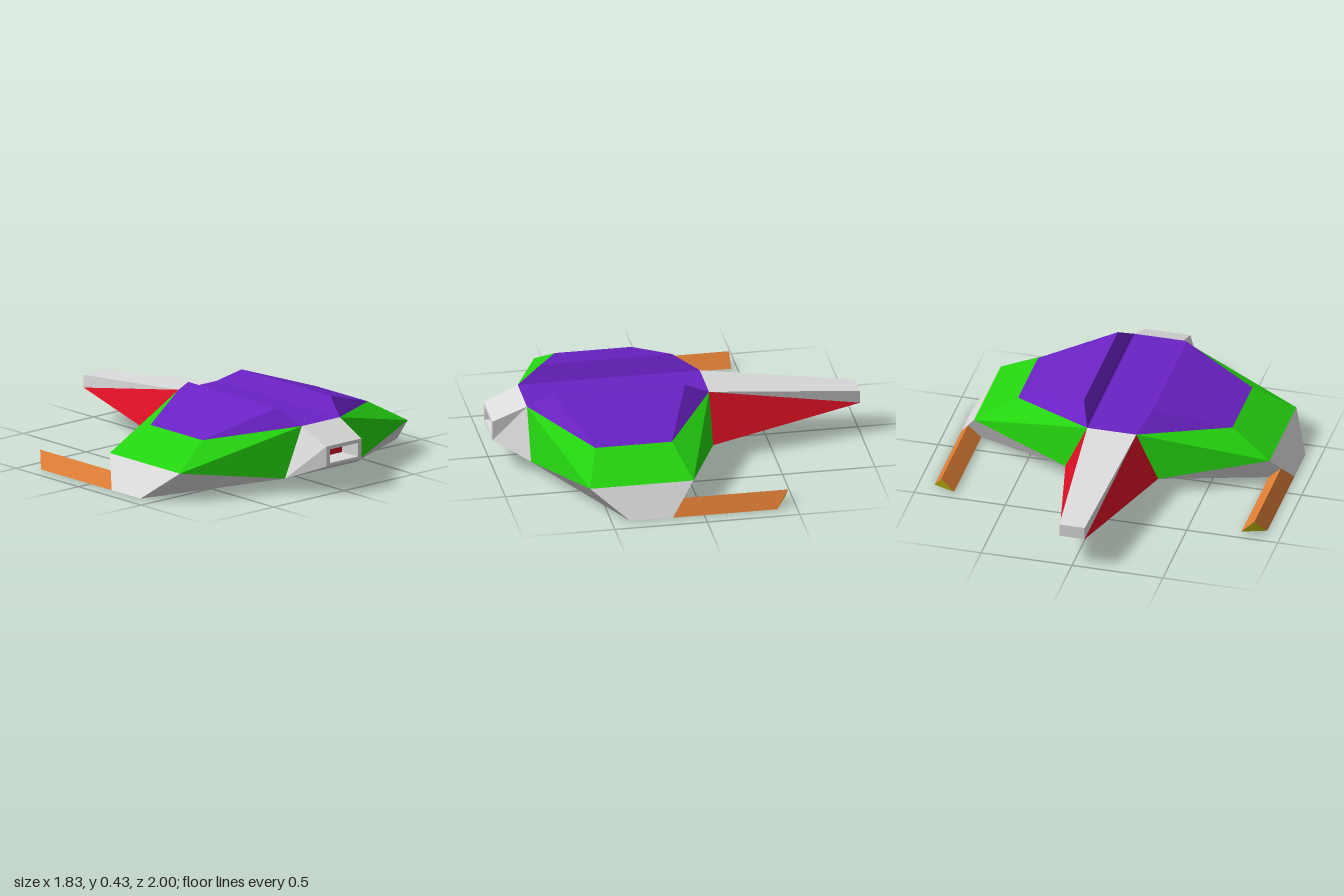
import * as THREE from 'three';

const material = (name, color) => {
  const m = new THREE.MeshStandardMaterial({ color });
  m.name = name;
  return m;
};

// Corner points of the +x half; a lower-case letter means the same point mirrored to -x
const points = {
  // spine, ridge and shoulder
  A: [0.135, 0.343, 0.815], B: [0.135, 0.343, -0.17],
  C: [0.19, 0.425, 0.68], D: [0.19, 0.425, -0.03],
  E: [0.59, 0.29, 0.53], F: [0.59, 0.29, 0.115],
  // wing edge, wing tip and belly
  G: [0.813, 0.16, 0.6], H: [0.813, 0.16, 0.04],
  I: [0.915, 0, 0.4], J: [0.915, 0, 0.17],
  K: [0.255, 0.075, 0.815], L: [0.255, 0.085, -0.17],
  // tail end
  M: [0.07, 0.245, -1], N: [0.07, 0.175, -1],
  // nose rim, opening and recess
  T: [0.125, 0.265, 1], S: [0.125, 0.155, 1],
  U: [0.1, 0.245, 1], V: [0.1, 0.17, 1],
  W: [0.075, 0.236, 0.9], X: [0.075, 0.179, 0.9],
  // rear prong
  Q: [0.86, 0.085, 0.105], R: [0.79, 0.015, 0.105],
  O: [0.915, 0, -0.395], Y: [0.86, 0.085, -0.463], Z: [0.79, 0.015, -0.463],
};

const corner = (letter) => {
  const [x, y, z] = points[letter.toUpperCase()];
  return letter === letter.toUpperCase() ? [x, y, z] : [-x, y, z];
};

const swapCase = (c) => (c === c.toUpperCase() ? c.toLowerCase() : c.toUpperCase());
const mirrored = (face) => [...face].reverse().map(swapCase).join('');

// Flat-faced surface from corner strings: paired faces are mirrored, middle faces span both sides
function surface(name, mat, paired, middle = []) {
  const faces = [...paired, ...paired.map(mirrored), ...middle];
  const positions = [];
  for (const face of faces) {
    for (let i = 1; i < face.length - 1; i++) {
      positions.push(...corner(face[0]), ...corner(face[i]), ...corner(face[i + 1]));
    }
  }
  const geometry = new THREE.BufferGeometry();
  geometry.setAttribute('position', new THREE.Float32BufferAttribute(positions, 3));
  geometry.computeVertexNormals();
  const mesh = new THREE.Mesh(geometry, mat);
  mesh.name = name;
  return mesh;
}

export function createModel() {
  const grey = material('light grey', 0xdcdcdc);
  const green = material('green', 0x24d40f);
  const purple = material('purple', 0x6a22c4);
  const red = material('red', 0xdc0f24);
  const orange = material('orange', 0xde7d35);
  const yellow = material('yellow', 0xd0c80c);

  const model = new THREE.Group();
  model.name = 'spacecraft';
  model.add(
    // Hull
    surface('upperDeck', purple, ['ACDB', 'CEFD', 'AEC', 'BDF'], ['aABb']),
    surface('wingPanels', green, ['EGHF', 'AGE', 'AKG', 'BFH', 'BHL']),
    surface('wingTips', grey, ['GIJH', 'KIG', 'LHJ']),
    surface('belly', grey, ['KLJI'], ['klLK']),
    // Nose with a tapering recess
    surface('nose', grey, ['ATSK', 'VSTU'], ['tTAa', 'skKS', 'uUTt', 'sSVv']),
    surface('noseRecess', grey, ['XVUW'], ['wWUu', 'vVXx']),
    surface('noseWindow', red, [], ['xXWw']),
    // Tail boom
    surface('tailTop', grey, ['BNM'], ['bBMm', 'MNnm']),
    surface('tailSides', red, ['BLN'], ['lnNL']),
    // Rear prongs
    surface('rearProngs', orange, ['JOYQ', 'RQYZ', 'JRZO']),
    surface('prongEnds', yellow, ['OZY']),
  );
  return model;
}
